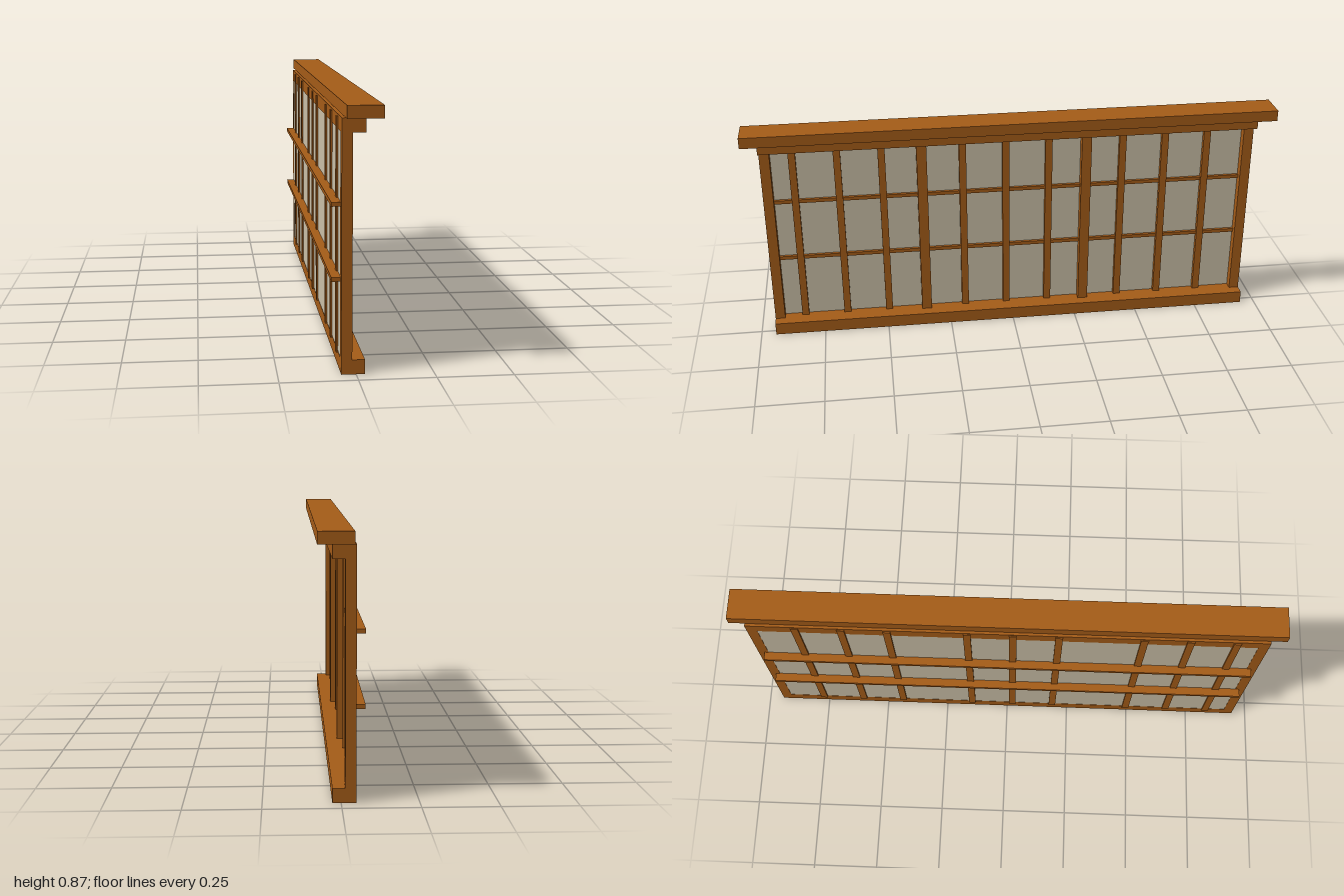
import * as THREE from 'three';

export function createModel() {
  const model = new THREE.Group();
  const wood = new THREE.MeshStandardMaterial({ color: 0xa55c18 });
  const paper = new THREE.MeshStandardMaterial({ color: 0xcbc0a8 });

  // Box given by its lower and upper limits on each axis
  function box(name, [x0, x1], [y0, y1], [z0, z1], material = wood) {
    const mesh = new THREE.Mesh(new THREE.BoxGeometry(x1 - x0, y1 - y0, z1 - z0), material);
    mesh.position.set((x0 + x1) / 2, (y0 + y1) / 2, (z0 + z1) / 2);
    mesh.name = name;
    model.add(mesh);
  }
  const around = (c, width) => [c - width / 2, c + width / 2];

  // Overhanging cap beam and the two long rails
  box('capBeam', [-0.039, 0.076], [0.824, 0.865], [-1, 1]);
  box('topRail', [-0.048, 0.028], [0.775, 0.821], [-0.943, 0.943]);
  box('bottomRail', [-0.048, 0.028], [0, 0.048], [-0.943, 0.943]);

  // End posts, and intermediate posts standing in front of the paper
  for (const side of [-1, 1]) {
    box('endPost', [-0.048, -0.013], [0.02, 0.8], around(side * 0.924, 0.038));
  }
  for (const z of [0.343, -0.289]) {
    box('middlePost', [-0.0445, -0.013], [0.02, 0.8], around(z, 0.038));
  }

  // Paper panel
  box('paperPanel', [-0.047, -0.045], [0.04, 0.815], [-0.906, 0.906], paper);

  // Slats pass through the paper, three to each bay
  for (const start of [0.825, 0.187, -0.433]) {
    for (let i = 0; i < 3; i++) {
      box('slat', [-0.053, -0.028], [0.04, 0.815], around(start - i * 0.166, 0.027));
    }
  }

  // Horizontal bars projecting at the back
  for (const y of [0.306, 0.547]) {
    box('crossBar', [-0.078, -0.034], around(y, 0.014), [-0.92, 0.92]);
  }
  return model;
}
